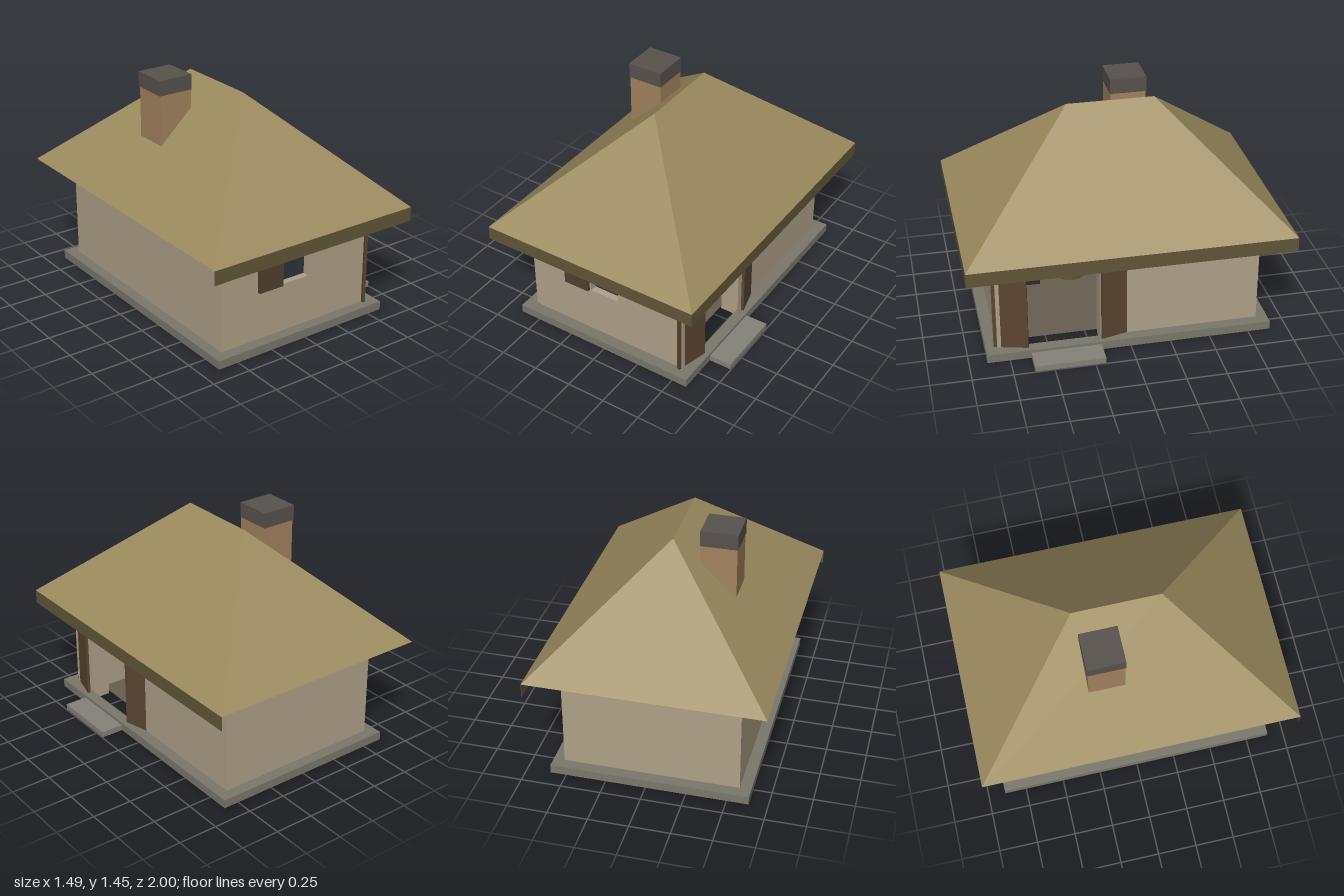
import * as THREE from 'three';

const mat = (color, side = THREE.FrontSide) =>
  new THREE.MeshStandardMaterial({ color, side, flatShading: true });

const M = {
  thatch: mat(0x9c8b5f, THREE.DoubleSide), fascia: mat(0x625638), plaster: mat(0xb0a189),
  stone: mat(0x7b786b), step: mat(0x85827a), wood: mat(0x5b4531), shutter: mat(0x51402f),
  brick: mat(0xa3835f), cap: mat(0x59524d), glass: mat(0x2d323b),
  floor: mat(0x685d50, THREE.DoubleSide),
  iron: mat(0x2a2a2a), logs: mat(0x77482f), bed: mat(0x4a3226), barrel: mat(0x6b5138),
};

export function createModel() {
  const house = new THREE.Group();
  house.name = 'cottage';

  const add = (name, geometry, material) => {
    const mesh = new THREE.Mesh(geometry, material);
    mesh.name = name;
    house.add(mesh);
    return mesh;
  };
  // Box given by its lower and upper limits on each axis
  const box = (name, material, [x0, x1], [y0, y1], [z0, z1]) => {
    const mesh = add(name, new THREE.BoxGeometry(x1 - x0, y1 - y0, z1 - z0), material);
    mesh.position.set((x0 + x1) / 2, (y0 + y1) / 2, (z0 + z1) / 2);
    return mesh;
  };
  const trace = (path, [a0, a1], [b0, b1]) =>
    path.moveTo(a0, b0).lineTo(a1, b0).lineTo(a1, b1).lineTo(a0, b1).closePath();
  // Rectangular slab with one rectangular hole, extruded along +z
  const pierced = (a, b, holeA, holeB, depth) => {
    const shape = trace(new THREE.Shape(), a, b);
    shape.holes.push(trace(new THREE.Path(), holeA, holeB));
    return new THREE.ExtrudeGeometry(shape, { depth, bevelEnabled: false });
  };

  // Wall limits: outer faces, thickness, height, doorway
  const W = -0.565, X = 0.53, Z = 0.818, t = 0.12, top = 0.76;
  const door0 = 0.178, door1 = 0.628, doorMid = 0.403;

  // Plinth ring around the walls, floor inside them, and doorstep
  const base = 0.055, ground = 0.02;
  const ring = pierced([-0.635, 0.6], [-0.89, 0.89], [W, X], [-Z, Z], base);
  add('plinth', ring.rotateX(-Math.PI / 2), M.stone);
  const floorPlane = new THREE.PlaneGeometry(X - W - 2 * t, 2 * (Z - t));
  const floor = add('floor', floorPlane.rotateX(-Math.PI / 2), M.floor);
  floor.position.set((W + X) / 2, ground, 0);
  box('doorstep', M.step, [0.6, 0.745], [0, 0.037], [0.185, 0.62]);

  // Walls: plain back and right, front with a window, left with a doorway
  box('backWall', M.plaster, [W, X], [0, top], [-Z, -Z + t]);
  box('rightWall', M.plaster, [W, W + t], [0, top], [-Z + t, Z - t]);
  const front = pierced([W, X], [0, top], [-0.13, 0.07], [0.365, 0.548], t);
  add('frontWall', front.translate(0, 0, Z - t), M.plaster);
  box('leftWallRear', M.plaster, [X - t, X], [0, top], [-Z + t, door0]);
  box('leftWallFore', M.plaster, [X - t, X], [0, top], [door1, Z - t]);
  box('doorLintel', M.cap, [X - t, X + 0.005], [0.66, top], [door0, door1]);
  box('doorLantern', M.iron, [X, X + 0.025], [0.68, 0.735], [doorMid - 0.025, doorMid + 0.025]);

  // Window pane and its open shutter
  box('windowPane', M.glass, [-0.13, 0.07], [0.365, 0.548], [0.765, 0.775]);
  box('shutter', M.shutter, [-0.31, -0.137], [0.368, 0.547], [0.823, 0.843]);

  // Pair of doors folded back, mirrored about the middle of the doorway
  for (const s of [1, -1]) {
    const door = box('door', M.wood, [0.527, 0.545], [base, 0.65], [-0.107, 0.107]);
    door.position.z = doorMid + s * 0.331;
    door.rotation.y = -s * 0.25;
  }

  // Open hipped roof
  const L = -0.745, R = 0.708, eave = 0.71, ridge = 1.383, mid = -0.0185;
  const A = [L, eave, 1], B = [R, eave, 1], C = [R, eave, -1], D = [L, eave, -1];
  const E = [mid, ridge, 0.273], F = [mid, ridge, -0.273];
  const hip = new THREE.BufferGeometry();
  const faces = [A, B, E, B, C, F, B, F, E, C, D, F, D, A, E, D, E, F];
  hip.setAttribute('position', new THREE.Float32BufferAttribute(faces.flat(), 3));
  hip.computeVertexNormals();
  add('roof', hip, M.thatch);
  // Thin fascia boards along the front and the door side
  box('frontFascia', M.fascia, [L, R], [0.62, eave], [0.997, 1]);
  box('sideFascia', M.fascia, [R - 0.003, R], [0.62, eave], [-1, 0.997]);

  // Chimney
  box('chimney', M.brick, [-0.402, -0.18], [ground, 1.35], [-0.257, -0.033]);
  box('chimneyCap', M.cap, [-0.407, -0.178], [1.348, 1.445], [-0.262, -0.03]);

  // Furnishings, their feet just through the floor
  const low = ground - 0.003;
  const round = (name, material, r, height, x, z, sides) => {
    const h = height - low;
    const mesh = add(name, new THREE.CylinderGeometry(r, r, h, sides), material);
    mesh.position.set(x, low + h / 2, z);
  };
  round('barrel', M.barrel, 0.1, 0.203, -0.28, 0.222, 16);
  round('stool', M.barrel, 0.065, 0.22, 0.12, -0.15, 16);
  round('hearthStone', M.stone, 0.2, 0.04, -0.22, -0.22, 6);
  box('bed', M.bed, [-0.43, -0.11], [low, 0.17], [-0.69, -0.36]);
  box('bench', M.barrel, [0.08, 0.38], [low, 0.15], [-0.69, -0.59]);
  box('chest', M.iron, [-0.43, -0.18], [low, 0.11], [0.44, 0.69]);
  box('chestBundle', M.logs, [-0.41, -0.2], [0.11, 0.155], [0.51, 0.67]);

  return house;
}
